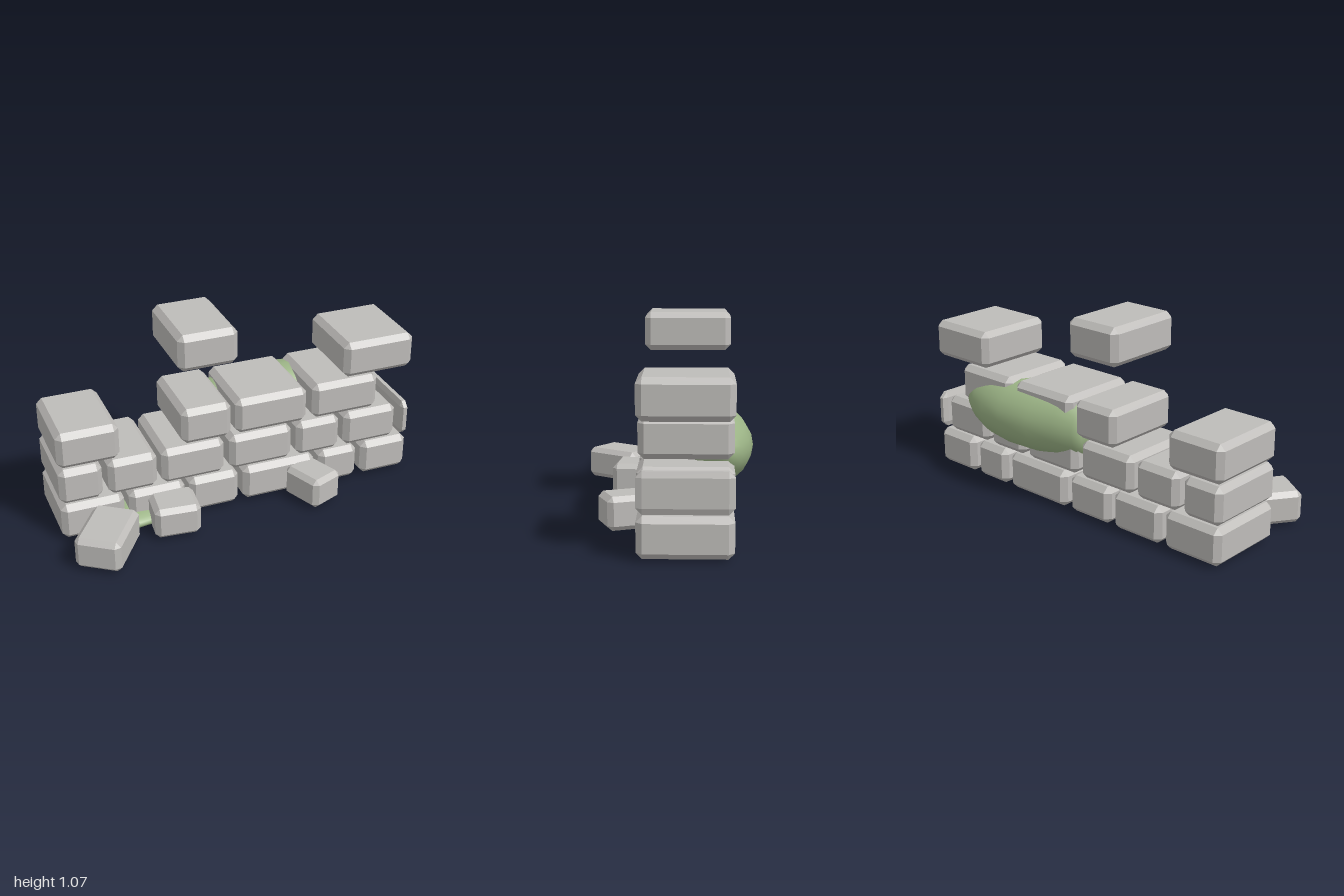
import * as THREE from 'three';
import { mergeVertices } from 'three/addons/utils/BufferGeometryUtils.js';
import { ConvexGeometry } from 'three/addons/geometries/ConvexGeometry.js';

const stone = new THREE.MeshStandardMaterial({ name: 'stone grey', color: 0xbebcb9 });
const moss = new THREE.MeshStandardMaterial({ name: 'moss green', color: 0x9cb486 });

// Box with chamfered edges and triangular corners
function chamferedBox(w, h, d, bevel = 0.03) {
  const bx = Math.min(bevel, w * 0.25);
  const points = [];
  for (const sx of [-1, 1]) for (const sy of [-1, 1]) for (const sz of [-1, 1]) {
    const [x, y, z] = [w / 2, h / 2, d / 2];
    points.push(
      new THREE.Vector3(sx * x, sy * (y - bevel), sz * (z - bevel)),
      new THREE.Vector3(sx * (x - bx), sy * y, sz * (z - bevel)),
      new THREE.Vector3(sx * (x - bx), sy * (y - bevel), sz * z));
  }
  return new ConvexGeometry(points);
}

// Smooth lump along x from rings of [x, centre y, centre z, radius y, radius z]
function lump(rings) {
  const sides = 20;
  const geo = new THREE.CylinderGeometry(1, 1, 1, sides, rings.length - 1, true);
  geo.rotateZ(-Math.PI / 2);
  geo.deleteAttribute('uv');
  geo.deleteAttribute('normal');
  const pos = geo.attributes.position;
  for (let i = 0; i < pos.count; i++) {
    const row = rings.length - 1 - Math.floor(i / (sides + 1));
    const [x, cy, cz, ry, rz] = rings[row];
    pos.setXYZ(i, x, cy + pos.getY(i) * ry, cz + pos.getZ(i) * rz);
  }
  const merged = mergeVertices(geo, 1e-5);
  merged.computeVertexNormals();
  return merged;
}

function add(group, name, geometry, material) {
  const mesh = new THREE.Mesh(geometry, material);
  mesh.name = name;
  group.add(mesh);
  return mesh;
}

export function createModel() {
  const model = new THREE.Group();
  model.name = 'ruinedWall';

  // Wall courses, bottom to top: x start and end of every brick
  const courses = [
    [[-1, -0.66], [-0.635, -0.325], [-0.3, -0.02], [0.01, 0.43], [0.46, 0.69], [0.72, 1]],
    [[-1, -0.77], [-0.74, -0.475], [-0.45, -0.1], [-0.07, 0.29], [0.32, 0.575], [0.605, 0.92], [0.955, 1]],
    [[-1, -0.67], [-0.335, -0.06], [-0.035, 0.375], [0.41, 0.795]],
    [[0.59, 1]],
    [[-0.345, -0.02]],
  ];
  courses.forEach((course, row) => {
    const group = new THREE.Group();
    group.name = `course${row + 1}`;
    for (const [x0, x1] of course) {
      const brick = add(group, 'brick', chamferedBox(x1 - x0, 0.202, 0.456), stone);
      brick.position.set((x0 + x1) / 2, 0.114 + row * 0.2125, -0.14);
    }
    model.add(group);
  });

  // Fallen bricks in front: x, z, width, depth, turn
  const fallen = [
    [-0.811, 0.257, 0.345, 0.245, 0.963],
    [-0.42, 0.165, 0.245, 0.22, -0.1],
    [0.378, 0.167, 0.2, 0.245, 0.38],
  ];
  for (const [x, z, w, d, turn] of fallen) {
    const brick = add(model, 'fallenBrick', chamferedBox(w, 0.175, d, 0.026), stone);
    brick.position.set(x, 0.1, z);
    brick.rotation.y = turn;
  }

  // Moss bulging out of the back, blunt at one end and tapering at the other
  add(model, 'wallMoss', lump([
    [-0.105, 0.44, -0.28, 0.001, 0.001],
    [-0.1, 0.44, -0.28, 0.08, 0.07],
    [-0.06, 0.455, -0.27, 0.145, 0.115],
    [0.05, 0.45, -0.27, 0.165, 0.155],
    [0.2, 0.44, -0.27, 0.177, 0.185],
    [0.4, 0.44, -0.27, 0.18, 0.2],
    [0.55, 0.44, -0.27, 0.165, 0.18],
    [0.67, 0.445, -0.27, 0.125, 0.14],
    [0.74, 0.455, -0.28, 0.075, 0.09],
    [0.77, 0.47, -0.29, 0.001, 0.001],
  ]), moss);

  // Flat moss patch under the wall's foot
  const patch = add(model, 'groundMoss', new THREE.SphereGeometry(1, 20, 12), moss);
  patch.scale.set(0.22, 0.055, 0.2);
  patch.position.set(-0.61, 0.055, -0.04);

  return model;
}
